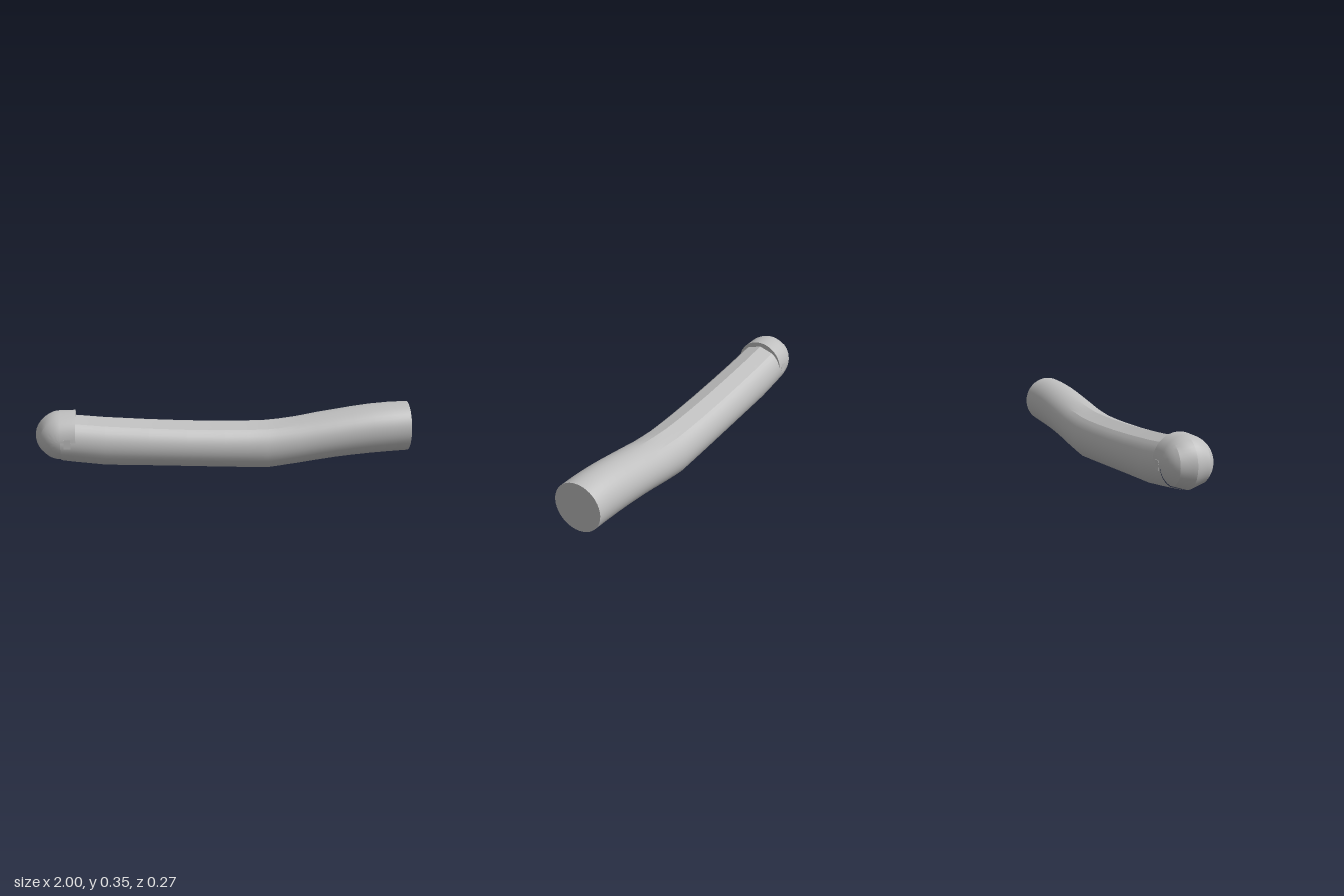
import * as THREE from 'three';
import { toCreasedNormals } from 'three/addons/utils/BufferGeometryUtils.js';

const R = 0.133;
const CENTRE = { x: -0.866, y: 0.214 }; // pivot of the rounded end

// Point of the cross-section: t runs from the keel; f flattens the keel and ridge facets.
function section(t, f) {
  const flat = Math.PI / 5;
  const a = Math.abs(t);
  const circle = [Math.sin(a), Math.cos(a)];
  let k = null;
  if (a < flat) k = [a / flat, 1];
  else if (a > Math.PI - flat) k = [(Math.PI - a) / flat, -1];
  if (k) {
    const chord = [k[0] * Math.sin(flat), k[1] * (1 + k[0] * (Math.cos(flat) - 1))];
    circle[0] += (chord[0] - circle[0]) * f;
    circle[1] += (chord[1] - circle[1]) * f;
  }
  return { z: R * circle[0] * Math.sign(t), r: R * circle[1] };
}

// Skin a list of rings, each an equal-length list of [x, y, z].
function loft(rings) {
  const n = rings[0].length;
  const index = [];
  for (let i = 0; i < rings.length - 1; i++) {
    for (let j = 0; j < n - 1; j++) {
      const a = i * n + j, b = a + n;
      index.push(a, b, b + 1, a, b + 1, a + 1);
    }
  }
  const g = new THREE.BufferGeometry();
  g.setAttribute('position', new THREE.Float32BufferAttribute(rings.flat(2), 3));
  g.setIndex(index);
  return toCreasedNormals(g, 0.25);
}

export function createModel() {
  const group = new THREE.Group();
  const grey = new THREE.MeshStandardMaterial({ color: 0xbebebe });
  grey.name = 'light grey';
  const add = (name, geometry) => {
    const mesh = new THREE.Mesh(geometry, grey);
    mesh.name = name;
    group.add(mesh);
    return mesh;
  };

  // Bowed bar: x, bottom, top
  const stations = [
    [-0.866, 0.077, 0.334], [-0.79, 0.065, 0.325], [-0.63, 0.043, 0.308], [-0.4, 0.033, 0.289],
    [-0.2, 0.023, 0.276], [0, 0.012, 0.268], [0.12, 0.006, 0.266], [0.23, 0.0, 0.267],
    [0.3, 0.009, 0.272], [0.4, 0.024, 0.281], [0.5, 0.04, 0.297], [0.6, 0.053, 0.312],
    [0.7, 0.063, 0.327], [0.8, 0.071, 0.339], [0.9, 0.077, 0.346], [1, 0.082, 0.348],
  ];
  const N = 40;
  add('bar', loft(stations.map(([x, low, high]) => {
    const f = 1 - THREE.MathUtils.smoothstep(x, 0.23, 0.5);
    return Array.from({ length: N + 1 }, (_, j) => {
      const p = section((j / N * 2 - 1) * Math.PI, f);
      return [x, (low + high) / 2 - p.r * (high - low) / (2 * R), p.z];
    });
  })));

  // Flat end face
  const end = add('endFace', new THREE.CircleGeometry(R, N));
  end.rotation.y = Math.PI / 2;
  end.position.set(1, 0.215, 0);

  // Rounded end with a hood running forward over the bar
  const halfRing = (angle, f, shift = 0) => Array.from({ length: N / 2 + 1 }, (_, j) => {
    const p = section((j / (N / 2) - 0.5) * Math.PI, f);
    return [CENTRE.x + shift + p.r * Math.cos(angle), CENTRE.y + p.r * Math.sin(angle), p.z];
  });
  const rings = [halfRing(Math.PI / 2, 0, CENTRE.x * -1 - 0.786)];
  for (let i = 0; i <= 20; i++) {
    const a = Math.PI * (0.5 + i / 20);
    rings.push(halfRing(a, THREE.MathUtils.smoothstep(i, 1, 8)));
  }
  add('roundedEnd', loft(rings));

  // Step at the front of the hood
  const lip = add('hoodLip', new THREE.CircleGeometry(R, N / 2, 0, Math.PI));
  lip.rotation.y = Math.PI / 2;
  lip.position.set(-0.786, CENTRE.y, 0);

  // Small raised clips on both sides below the hood
  for (const s of [-1, 1]) {
    const clip = add('sideClip', new THREE.BoxGeometry(0.035, 0.05, 0.008));
    clip.position.set(-0.83, 0.205, s * 0.129);
  }
  return group;
}
